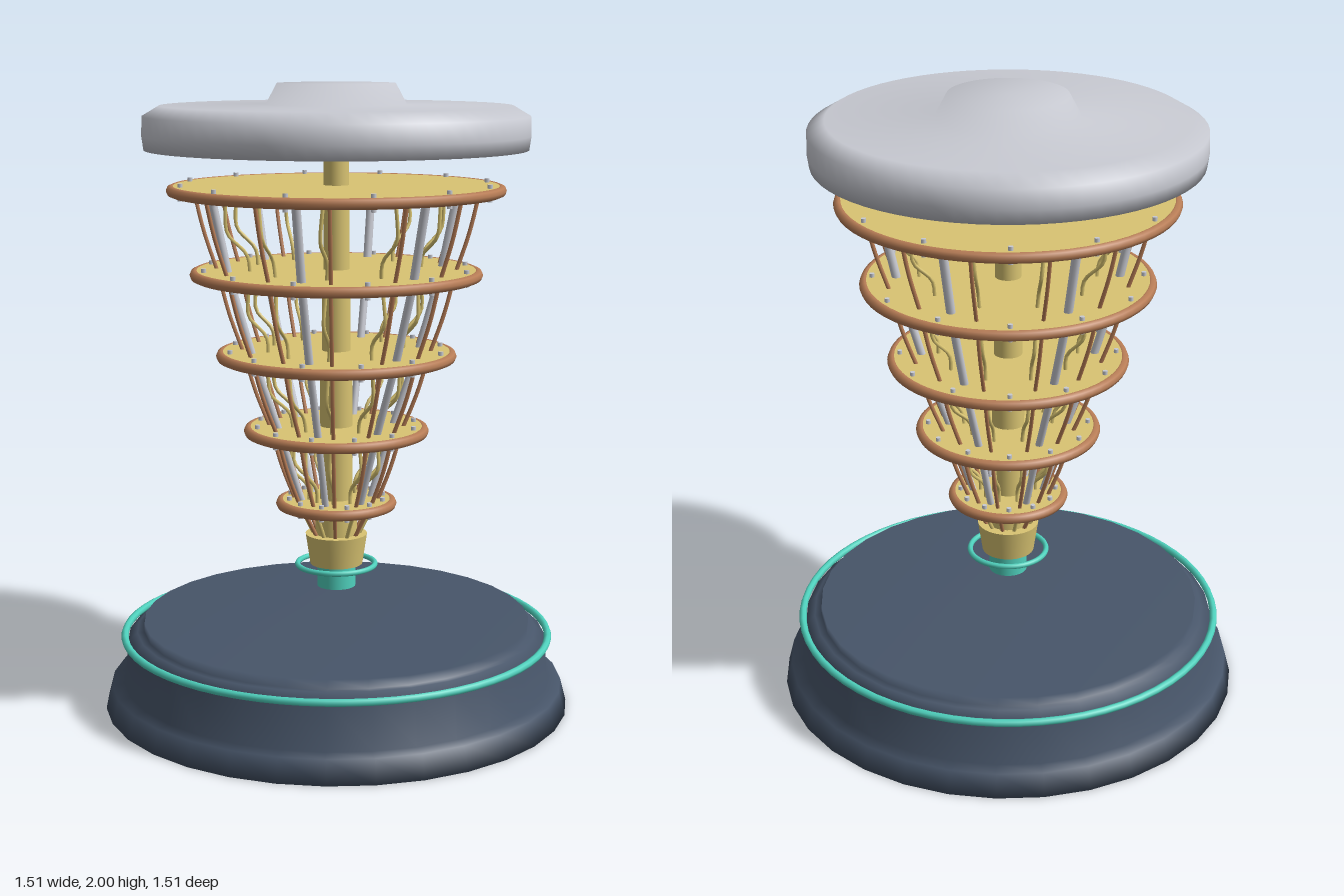
import * as THREE from 'three';

const mat = (name, color, side = THREE.FrontSide) => {
  const m = new THREE.MeshStandardMaterial({ color, side });
  m.name = name;
  return m;
};

export function createModel() {
  const root = new THREE.Group();
  const navy = mat('navy', 0x475569);
  const teal = mat('teal', 0x4fd1bd);
  const gold = mat('gold', 0xd9c472);
  const copper = mat('copper', 0xb87d56);
  const silver = mat('silver', 0xc8cad2);

  const add = (name, geo, material, y = 0, parent = root) => {
    const m = new THREE.Mesh(geo, material);
    m.name = name;
    m.position.y = y;
    parent.add(m);
    return m;
  };
  const lathe = (pts, seg) => new THREE.LatheGeometry(pts.map(p => new THREE.Vector2(...p)), seg);
  const ring = (r, tube, seg = 64) => new THREE.TorusGeometry(r, tube, 8, seg).rotateX(Math.PI / 2);
  const cyl = (rt, rb, h, seg = 32) => new THREE.CylinderGeometry(rt, rb, h, seg);
  const polar = (r, a, y) => new THREE.Vector3(r * Math.cos(a), y, r * Math.sin(a));

  // Stepped base with a glowing ring
  add('base', lathe([[0, 0], [0.755, 0], [0.735, 0.075], [0.693, 0.08], [0.68, 0.225],
    [0.65, 0.25], [0.627, 0.25], [0.627, 0.28], [0, 0.28]], 32), navy);
  add('baseRing', ring(0.69, 0.012), teal, 0.232);

  // Broad cap with a raised boss
  add('cap', lathe([[0, 1.797], [0.6, 1.797], [0.606, 1.84], [0.604, 1.9], [0.55, 1.932],
    [0.22, 1.935], [0.185, 2], [0, 2]], 64), silver);

  // Tiered plates: height, outer radius, silver rod, copper wire and gold wire radii
  const tiers = [
    { y: 1.67, r: 0.533, rod: 0.4, outer: 0.45, inner: 0.35 },
    { y: 1.405, r: 0.463, rod: 0.345, outer: 0.375, inner: 0.275 },
    { y: 1.145, r: 0.383, rod: 0.27, outer: 0.295, inner: 0.22 },
    { y: 0.9, r: 0.297, rod: 0.185, outer: 0.21, inner: 0.14 },
    { y: 0.66, r: 0.195, rod: 0.11, outer: 0.13, inner: 0.09 },
  ];
  const boltGeo = cyl(0.008, 0.008, 0.054, 8);
  tiers.forEach(({ y, r }, t) => {
    const tier = new THREE.Group();
    tier.name = 'tier' + (t + 1);
    root.add(tier);
    add('plate', cyl(r - 0.016, r - 0.016, 0.03, 64), gold, y, tier);
    add('plateRim', ring(r - 0.017, 0.017), copper, y, tier);
    for (let i = 0; i < 12; i++) {
      add('bolt', boltGeo, silver, 0, tier).position.copy(polar(r - 0.04, i * Math.PI / 6, y));
    }
  });

  // Central column, thicker towards the bottom
  const column = [[1.8, 1.67, 0.04], [1.67, 1.405, 0.041], [1.405, 1.145, 0.045],
    [1.145, 0.9, 0.052], [0.9, 0.6, 0.053]];
  for (const [top, bottom, r] of column) add('column', cyl(r, r, top - bottom), gold, (top + bottom) / 2);

  // Rods and wires between neighbouring tiers
  const up = new THREE.Vector3(0, 1, 0);
  const rod = (a, b, r) => {
    const dir = b.clone().sub(a);
    const m = add('supportRod', cyl(r, r, dir.length(), 12), silver);
    m.position.copy(a).add(b).multiplyScalar(0.5);
    m.quaternion.setFromUnitVectors(up, dir.normalize());
  };
  const wire = (name, pts, r, material) =>
    add(name, new THREE.TubeGeometry(new THREE.CatmullRomCurve3(pts), 14, r, 6), material);

  for (let t = 0; t < 4; t++) {
    const A = tiers[t], B = tiers[t + 1];
    const mix = (key, f) => A[key] + (B[key] - A[key]) * f;
    for (let i = 0; i < 6; i++) {
      const a = i * Math.PI / 3;
      rod(polar(A.rod, a, A.y), polar(B.rod, a, B.y), 0.014 - t * 0.001);
    }
    for (let i = 0; i < 12; i++) {
      const a = (i + 0.5) * Math.PI / 6;
      wire('copperWire', [0, 0.5, 1].map(f =>
        polar(mix('outer', f) + (f === 0.5 ? 0.006 : 0), a, mix('y', f))), 0.0065, copper);
    }
    for (let i = 0; i < 10; i++) {
      const a = (i + 0.35) * Math.PI / 5;
      const bulge = [0, 0.02, 0.032, -0.008, 0];
      wire('goldWire', bulge.map((d, k) =>
        polar(mix('inner', k / 4) + d, a + (i % 2 ? d : -d), mix('y', k / 4))), 0.006, gold);
    }
  }

  // Wires gathered into the collar
  for (let i = 0; i < 12; i++) {
    const a = (i + 0.5) * Math.PI / 6;
    wire('collarWire', [polar(0.13, a, 0.66), polar(0.1, a, 0.61), polar(0.07, a, 0.55)],
      0.0065, i % 2 ? copper : gold);
  }

  // Lower collar and nozzle
  add('collarNeck', cyl(0.068, 0.068, 0.07), gold, 0.585);
  add('collar', cyl(0.1, 0.085, 0.1), gold, 0.508);
  add('collarRing', ring(0.126, 0.009, 48), teal, 0.455);
  add('nozzle', cyl(0.062, 0.062, 0.075), teal, 0.42);

  return root;
}
